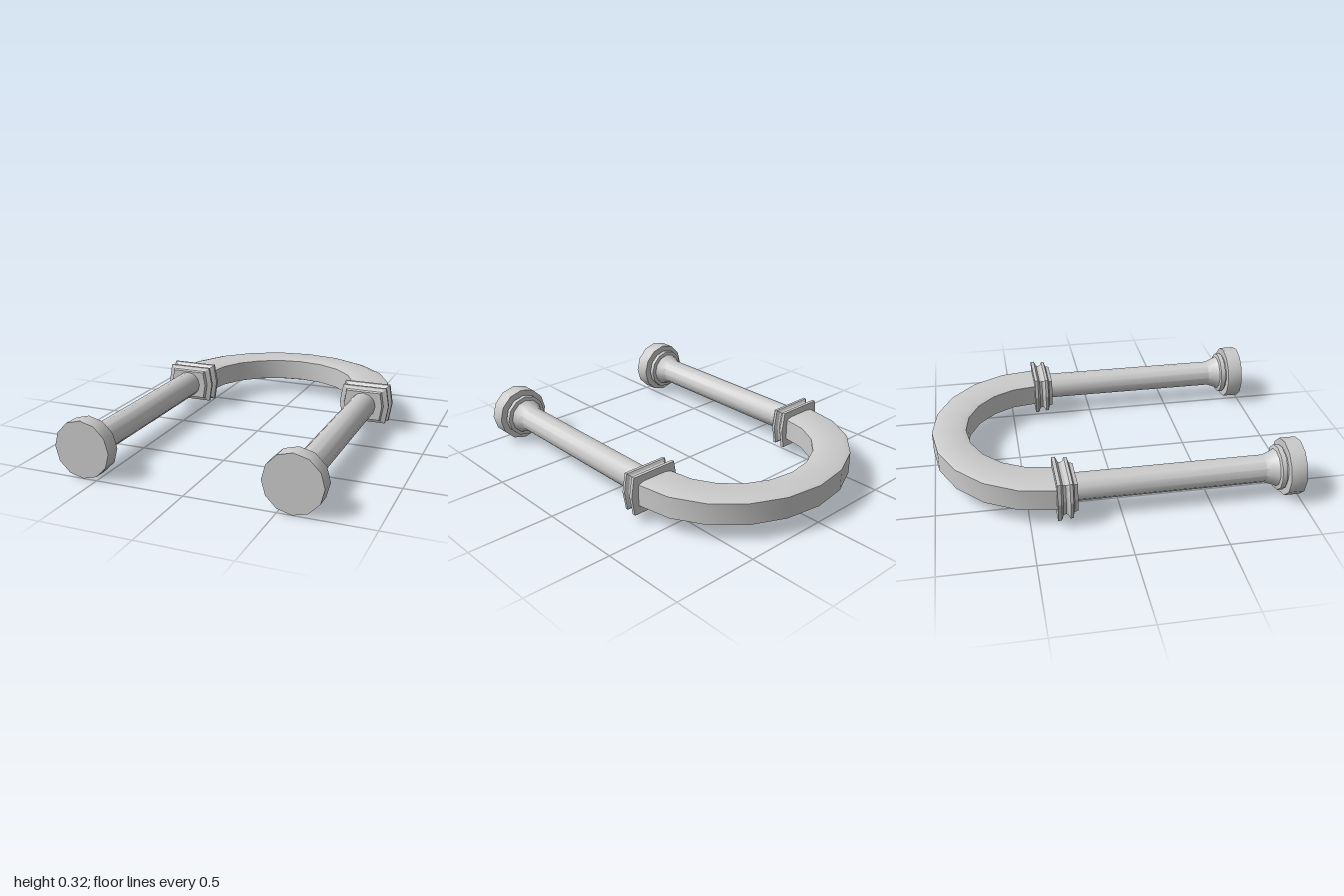
import * as THREE from 'three';
import { toCreasedNormals } from 'three/addons/utils/BufferGeometryUtils.js';

const material = new THREE.MeshStandardMaterial({ color: 0xcccccc });
const COLUMN_X = 0.58;
const MID_Y = 0.162;

// Lathe whose profile is [radius, z], running from the foot (z = 1) backwards
function latheAlongZ(profile, sides, phiStart = 0) {
  const points = profile.map(([r, z]) => new THREE.Vector2(r, -z));
  return new THREE.LatheGeometry(points, sides, phiStart).rotateX(-Math.PI / 2);
}

// Round column: foot, ring, flared collar and shaft
function columnGeometry() {
  const profile = [
    [0, 1], [0.16, 1], [0.16, 0.91], [0.112, 0.91], [0.112, 0.905],
    [0.127, 0.9], [0.127, 0.873], [0.105, 0.868], [0.1, 0.86],
    [0.088, 0.83], [0.077, 0.8], [0.077, -0.25],
  ];
  return toCreasedNormals(latheAlongZ(profile, 12), 0.6);
}

// Moulded capital: a six-sided lathe reshaped to a rectangle with slightly pointed ends
function capitalGeometry() {
  const profile = [
    [0, -0.245], [0.116, -0.245], [0.122, -0.265], [0.135, -0.27], [0.15, -0.274],
    [0.15, -0.29], [0.132, -0.3], [0.127, -0.31], [0.13, -0.325], [0.146, -0.332],
    [0.156, -0.338], [0.156, -0.357], [0, -0.357],
  ];
  const geometry = latheAlongZ(profile, 6, Math.PI / 2);
  const p = geometry.attributes.position;
  for (let i = 0; i < p.count; i++) {
    if (Math.abs(p.getY(i)) > 0.01) {
      p.setX(i, p.getX(i) * 0.88 / 0.5);
      p.setY(i, p.getY(i) * 0.72 / 0.866);
    }
  }
  return toCreasedNormals(geometry, 0.3);
}

// Half-elliptical arch: a chamfered section [radiusX, radiusZ, y] swept in ten steps
function archGeometry() {
  const section = [
    [0.69, 0.642, -0.062], [0.69, 0.642, 0.062], [0.65, 0.617, 0.072], [0.505, 0.475, 0.072],
    [0.465, 0.447, 0.062], [0.465, 0.447, -0.062], [0.505, 0.475, -0.072], [0.65, 0.617, -0.072],
  ];
  const steps = 10, n = section.length;
  const positions = [], indices = [];
  for (let i = 0; i <= steps; i++) {
    const a = Math.PI * i / steps;
    for (const [rx, rz, y] of section) {
      positions.push(rx * Math.cos(a), y, -0.356 - rz * Math.sin(a));
    }
  }
  for (let i = 0; i < steps; i++) {
    for (let j = 0; j < n; j++) {
      const a = i * n + j, b = i * n + (j + 1) % n;
      indices.push(a, a + n, b, b, a + n, b + n);
    }
  }
  const geometry = new THREE.BufferGeometry();
  geometry.setAttribute('position', new THREE.Float32BufferAttribute(positions, 3));
  geometry.setIndex(indices);
  return toCreasedNormals(geometry, 0.4);
}

export function createModel() {
  const model = new THREE.Group();
  model.name = 'archway';

  const add = (name, geometry, x) => {
    const mesh = new THREE.Mesh(geometry, material);
    mesh.name = name;
    mesh.position.set(x, MID_Y, 0);
    model.add(mesh);
  };

  const column = columnGeometry();
  const capital = capitalGeometry();
  for (const [side, sign] of [['left', 1], ['right', -1]]) {
    add(side + 'Column', column, sign * COLUMN_X);
    add(side + 'Capital', capital, sign * COLUMN_X);
  }
  add('arch', archGeometry(), 0);

  return model;
}
